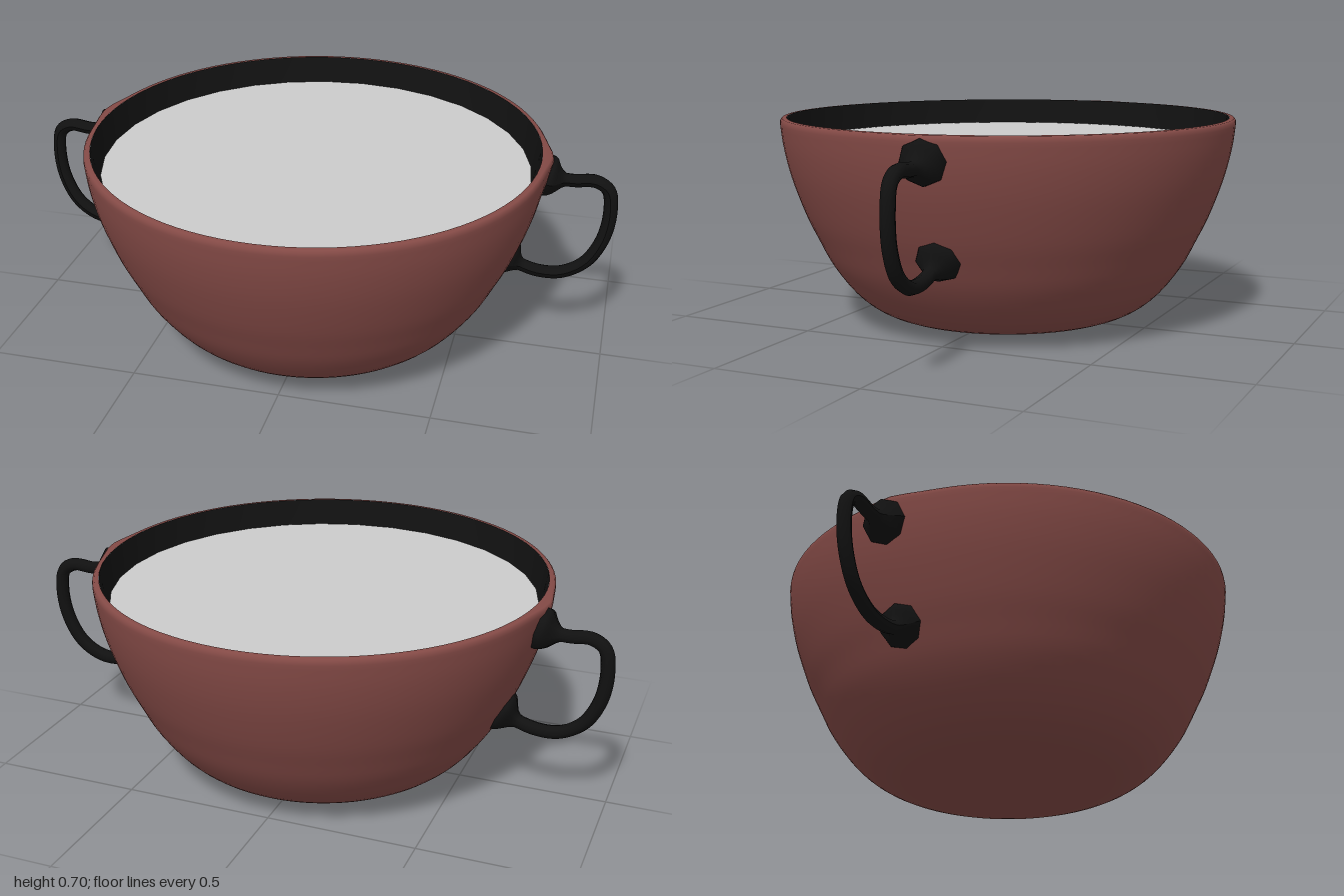
import * as THREE from 'three';

const clay = new THREE.MeshStandardMaterial({ color: 0x844a46 });
const black = new THREE.MeshStandardMaterial({ color: 0x111111 });
const grey = new THREE.MeshStandardMaterial({ color: 0xcccccc });

const toPoints = (list) => list.map(([x, y]) => new THREE.Vector2(x, y));

function addMesh(group, name, geometry, material) {
  const mesh = new THREE.Mesh(geometry, material);
  mesh.name = name;
  group.add(mesh);
  return mesh;
}

// Round outer wall, pulled out a little at the rim above each handle
function bowlGeometry() {
  const curve = new THREE.SplineCurve(toPoints([
    [0, 0.004], [0.2, 0.006], [0.315, 0.014], [0.43, 0.04], [0.52, 0.1],
    [0.6, 0.2], [0.65, 0.295], [0.69, 0.38], [0.733, 0.5], [0.757, 0.6], [0.767, 0.68],
  ]));
  const profile = [...curve.getPoints(36), ...toPoints([[0.766, 0.692], [0.76, 0.699], [0.745, 0.7]])];
  profile[0].x = 0;
  const geometry = new THREE.LatheGeometry(profile, 96);
  const pos = geometry.attributes.position;
  for (let i = 0; i < pos.count; i++) {
    const x = pos.getX(i), y = pos.getY(i), z = pos.getZ(i);
    if (y < 0.55 || Math.hypot(x, z) < 0.75) continue;
    const pull = 0.016 * Math.exp(-(((z + 0.06) / 0.08) ** 2)) * THREE.MathUtils.smoothstep(y, 0.55, 0.69);
    pos.setX(i, x + Math.sign(x) * pull);
  }
  return geometry;
}

// Thin loop whose ends flare into eight-sided pads on the wall
function handleGeometry(side) {
  const path = new THREE.CatmullRomCurve3([
    [0.745, 0.625, -0.075], [0.79, 0.612, -0.077], [0.85, 0.608, -0.08], [0.92, 0.612, -0.083],
    [0.963, 0.585, -0.084], [0.977, 0.51, -0.084], [0.963, 0.405, -0.08], [0.915, 0.315, -0.075],
    [0.84, 0.268, -0.07], [0.76, 0.264, -0.066], [0.69, 0.285, -0.065], [0.63, 0.32, -0.065],
  ].map(([x, y, z]) => new THREE.Vector3(x * side, y, z)));
  const length = path.getLength();
  const geometry = new THREE.TubeGeometry(path, 72, 0.023, 8);
  const { position: pos, normal, uv } = geometry.attributes;
  const p = new THREE.Vector3(), n = new THREE.Vector3();
  for (let i = 0; i < pos.count; i++) {
    const u = uv.getX(i);
    const fromEnd = Math.min(u, 1 - u) * length;
    const flare = 0.05 * (1 - THREE.MathUtils.smoothstep(fromEnd, 0.022, 0.085));
    p.fromBufferAttribute(pos, i).addScaledVector(n.fromBufferAttribute(normal, i), flare);
    pos.setXYZ(i, p.x, p.y, p.z);
  }
  geometry.computeVertexNormals();
  return geometry;
}

export function createModel() {
  const group = new THREE.Group();
  group.name = 'twoHandledBowl';

  addMesh(group, 'bowl', bowlGeometry(), clay);

  // Dark inner wall, running from the rim down to the floor
  const inner = toPoints([
    [0.745, 0.7], [0.737, 0.66], [0.724, 0.6], [0.7, 0.5], [0.655, 0.38], [0.57, 0.22],
    [0.49, 0.12], [0.4, 0.06], [0.3, 0.04], [0, 0.03],
  ]);
  addMesh(group, 'innerWall', new THREE.LatheGeometry(inner, 64), black);

  // Flat filling just below the rim
  const filling = addMesh(group, 'filling', new THREE.CircleGeometry(0.717, 32), grey);
  filling.rotation.x = -Math.PI / 2;
  filling.position.y = 0.612;

  for (const side of [1, -1]) {
    addMesh(group, side > 0 ? 'leftHandle' : 'rightHandle', handleGeometry(side), black);
  }
  return group;
}
